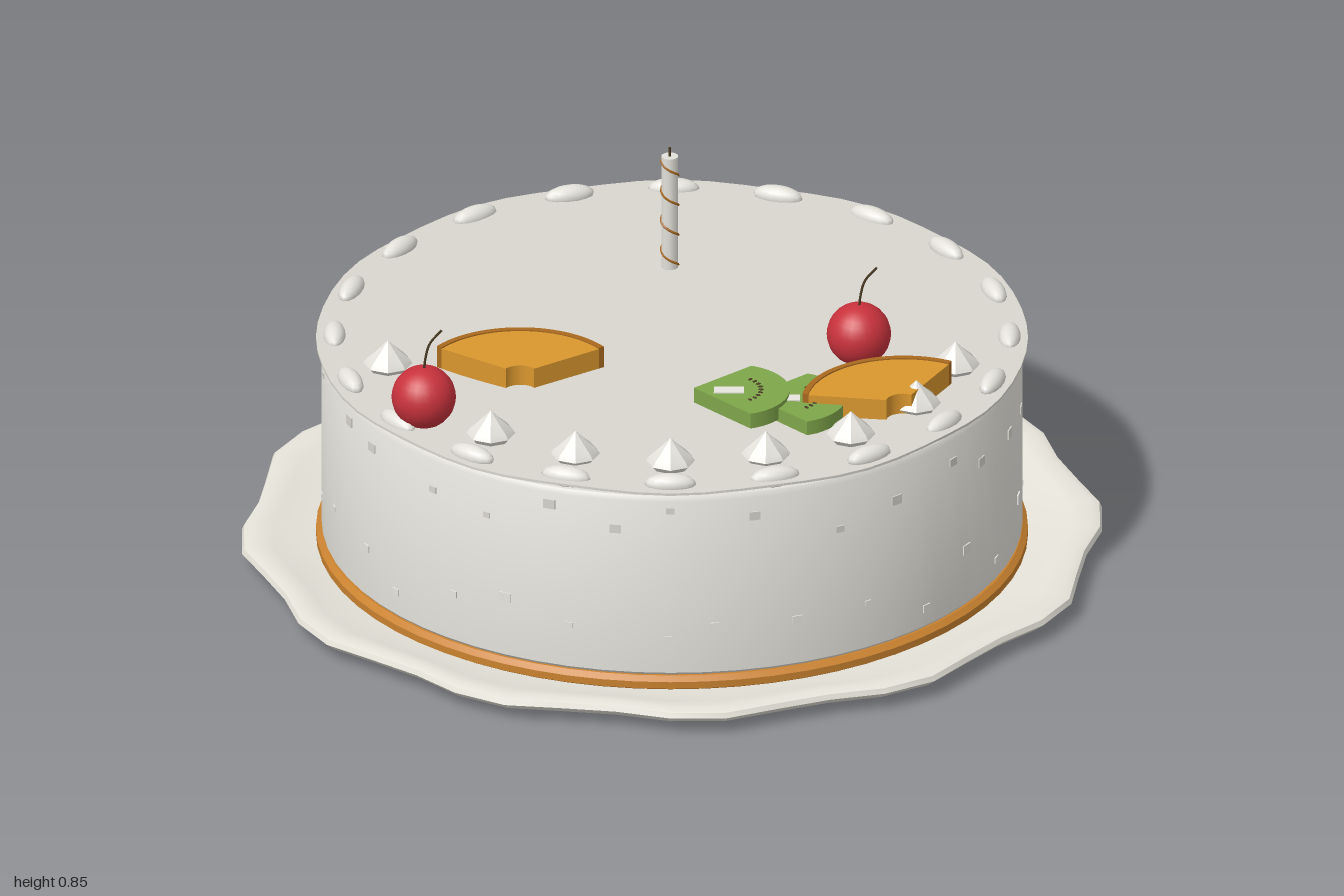
import * as THREE from 'three';
import { toCreasedNormals } from 'three/addons/utils/BufferGeometryUtils.js';

const material = (name, color, side = THREE.FrontSide) =>
  new THREE.MeshStandardMaterial({ name, color, side });

export function createModel() {
  const cake = new THREE.Group();
  cake.name = 'cake';

  const mats = {
    plate: material('porcelain', 0xe6e3da),
    icing: material('icing', 0xe3e1da),
    glaze: material('glaze', 0xd8d6ce),
    crust: material('crust', 0xc9822f),
    cherry: material('cherryRed', 0xc8323c),
    orange: material('orangeFlesh', 0xd9962e),
    rind: material('orangeRind', 0xa9691f),
    kiwi: material('kiwiGreen', 0x7fa64a),
    dark: material('darkBrown', 0x4a3a22),
    flake: material('flakes', 0xf2f0ea),
  };

  function add(name, geometry, mat, x = 0, y = 0, z = 0, parent = cake) {
    const mesh = new THREE.Mesh(geometry, mat);
    mesh.name = name;
    mesh.position.set(x, y, z);
    parent.add(mesh);
    return mesh;
  }
  const lathe = (pts, segments) =>
    new THREE.LatheGeometry(pts.map(([r, y]) => new THREE.Vector2(r, y)), segments);
  const group = (name, x, y, z) => {
    const g = new THREE.Group();
    g.name = name;
    g.position.set(x, y, z);
    cake.add(g);
    return g;
  };

  // Dished plate with twelve scallops around the rim
  const plateGeo = lathe([[0, 0], [0.6, 0], [0.9, 0.006], [0.98, 0.025], [1, 0.042], [0.995, 0.054],
    [0.975, 0.06], [0.93, 0.052], [0.85, 0.03], [0.7, 0.026], [0, 0.026]], 48);
  const pp = plateGeo.attributes.position;
  for (let i = 0; i < pp.count; i++) {
    const x = pp.getX(i), z = pp.getZ(i), r = Math.hypot(x, z);
    const wave = Math.cos(12 * (Math.atan2(-z, x) - Math.PI / 36));
    const s = 0.99 + 0.02 * wave * THREE.MathUtils.smoothstep(r, 0.8, 1);
    pp.setX(i, x * s);
    pp.setZ(i, z * s);
  }
  add('plate', toCreasedNormals(plateGeo, 0.8), mats.plate);

  // Cake body and the crust showing at its foot
  add('crust', toCreasedNormals(lathe([[0, 0.027], [0.815, 0.027], [0.828, 0.035], [0.828, 0.052],
    [0.815, 0.063], [0, 0.063]], 64), 0.6), mats.crust);
  add('cakeBody', toCreasedNormals(lathe([[0, 0.062], [0.808, 0.062], [0.815, 0.07], [0.815, 0.512],
    [0.808, 0.524], [0, 0.524]], 64), 0.6), mats.icing);

  // Thin glaze sheet with a gently rippled edge
  const glazeGeo = new THREE.CylinderGeometry(0.828, 0.828, 0.006, 64, 1);
  const gp = glazeGeo.attributes.position;
  for (let i = 0; i < gp.count; i++) {
    const x = gp.getX(i), z = gp.getZ(i);
    gp.setY(i, gp.getY(i) + 0.004 * Math.hypot(x, z) * Math.sin(11 * Math.atan2(z, x)));
  }
  add('glaze', glazeGeo, mats.glaze, 0, 0.54, 0);

  // Piped beads around the top edge
  const beadGeo = new THREE.SphereGeometry(1, 14, 10).scale(0.06, 0.025, 0.026);
  for (let i = 0; i < 20; i++) {
    const a = i * Math.PI / 10;
    add('pipedBead', beadGeo, mats.icing, 0.785 * Math.sin(a), 0.545, 0.785 * Math.cos(a)).rotation.y = a;
  }

  // Cream dollops along the front half
  const dollopGeo = toCreasedNormals(lathe([[0, 0], [0.045, 0], [0.057, 0.014], [0.05, 0.025],
    [0.022, 0.05], [0, 0.072]], 8), 0.5);
  for (let i = -4; i <= 4; i++) {
    const a = i * 19 * Math.PI / 180;
    add('creamDollop', dollopGeo, mats.icing, 0.68 * Math.sin(a), 0.54, 0.68 * Math.cos(a));
  }

  // Candle with a spiral stripe and wick
  const candle = group('candle', -0.007, 0.54, -0.37);
  add('candleStick', new THREE.CylinderGeometry(0.02, 0.02, 0.29, 10), mats.icing, 0, 0.145, 0, candle);
  add('candleWick', new THREE.CylinderGeometry(0.003, 0.003, 0.025, 6), mats.dark, 0, 0.3, 0, candle);
  const spiral = [];
  for (let i = 0; i <= 48; i++) {
    const t = i / 48, a = t * Math.PI * 7;
    spiral.push(new THREE.Vector3(0.02 * Math.cos(a), 0.01 + 0.27 * t, 0.02 * Math.sin(a)));
  }
  add('candleStripe', new THREE.TubeGeometry(new THREE.CatmullRomCurve3(spiral), 96, 0.003, 5),
    mats.rind, 0, 0, 0, candle);

  // Cherries with bent stems
  const stemCurve = new THREE.CatmullRomCurve3([[0, 0.06, 0], [0.004, 0.1, 0], [0.014, 0.135, -0.004],
    [0.042, 0.168, -0.008]].map((p) => new THREE.Vector3(...p)));
  for (const [x, y, z] of [[-0.575, 0.608, 0.455], [0.435, 0.598, 0.095]]) {
    const cherry = group('cherry', x, y, z);
    add('cherryFruit', new THREE.SphereGeometry(0.075, 24, 16), mats.cherry, 0, 0, 0, cherry);
    add('cherryStem', new THREE.TubeGeometry(stemCurve, 12, 0.003, 5), mats.dark, 0, 0, 0, cherry);
  }

  // Flat shape turned to lie on the cake and thickened upwards
  const slab = (shape, depth) => new THREE.ExtrudeGeometry(shape,
    { depth, bevelEnabled: false, curveSegments: 20 }).rotateX(-Math.PI / 2);
  function ringSector(r0, r1, half) {
    const s = new THREE.Shape();
    s.absarc(0, 0, r1, Math.PI / 2 - half, Math.PI / 2 + half, false);
    s.absarc(0, 0, r0, Math.PI / 2 + half, Math.PI / 2 - half, true);
    s.closePath();
    return s;
  }

  // Orange wedges: flesh with a darker rind on the arc
  for (const [x, y, z, turn] of [[-0.352, 0.538, 0.3, 0], [0.54, 0.54, 0.45, 0.47]]) {
    const wedge = group('orangeSlice', x, y, z);
    wedge.rotation.y = turn;
    add('orangeFlesh', slab(ringSector(0.04, 0.223, 0.96), 0.056), mats.orange, 0, 0, 0, wedge);
    add('orangeRind', slab(ringSector(0.223, 0.237, 0.96), 0.059), mats.rind, 0, 0, 0, wedge);
  }

  // Kiwi wedges: pointed quarter with pale core and an arc of seeds
  const kiwiShape = new THREE.Shape();
  kiwiShape.moveTo(-0.086, 0.01);
  kiwiShape.lineTo(0.046, -0.128);
  kiwiShape.absarc(0, 0, 0.136, -1.22, 1.22, false);
  kiwiShape.closePath();
  const seedGeo = new THREE.SphereGeometry(1, 6, 4).scale(0.007, 0.002, 0.004);
  for (const [x, y, z] of [[0.139, 0.548, 0.37], [0.27, 0.538, 0.39]]) {
    const kiwi = group('kiwiSlice', x, y, z);
    add('kiwiFlesh', slab(kiwiShape, 0.038), mats.kiwi, 0, 0, 0, kiwi);
    add('kiwiCore', new THREE.BoxGeometry(0.07, 0.004, 0.03), mats.flake, -0.005, 0.039, 0.005, kiwi);
    for (let i = -4; i <= 4; i++) {
      const a = i * 0.22;
      add('kiwiSeed', seedGeo, mats.dark, 0.07 * Math.cos(a), 0.039, 0.07 * Math.sin(a), kiwi).rotation.y = -a;
    }
  }

  // Small flakes pressed into the side, gathered near top and bottom
  let seed = 7;
  const rand = () => (seed = (seed * 16807) % 2147483647) / 2147483647;
  for (let i = 0; i < 60; i++) {
    const a = (i + rand()) * Math.PI / 30;
    const y = i % 2 ? 0.1 + 0.12 * rand() : 0.36 + 0.14 * rand();
    const size = 0.015 + 0.015 * rand();
    const flake = add('sideFlake', new THREE.BoxGeometry(size, size * 0.8, 0.005),
      i % 2 ? mats.flake : mats.glaze, 0.815 * Math.sin(a), y, 0.815 * Math.cos(a));
    flake.rotation.y = a;
  }

  return cake;
}
